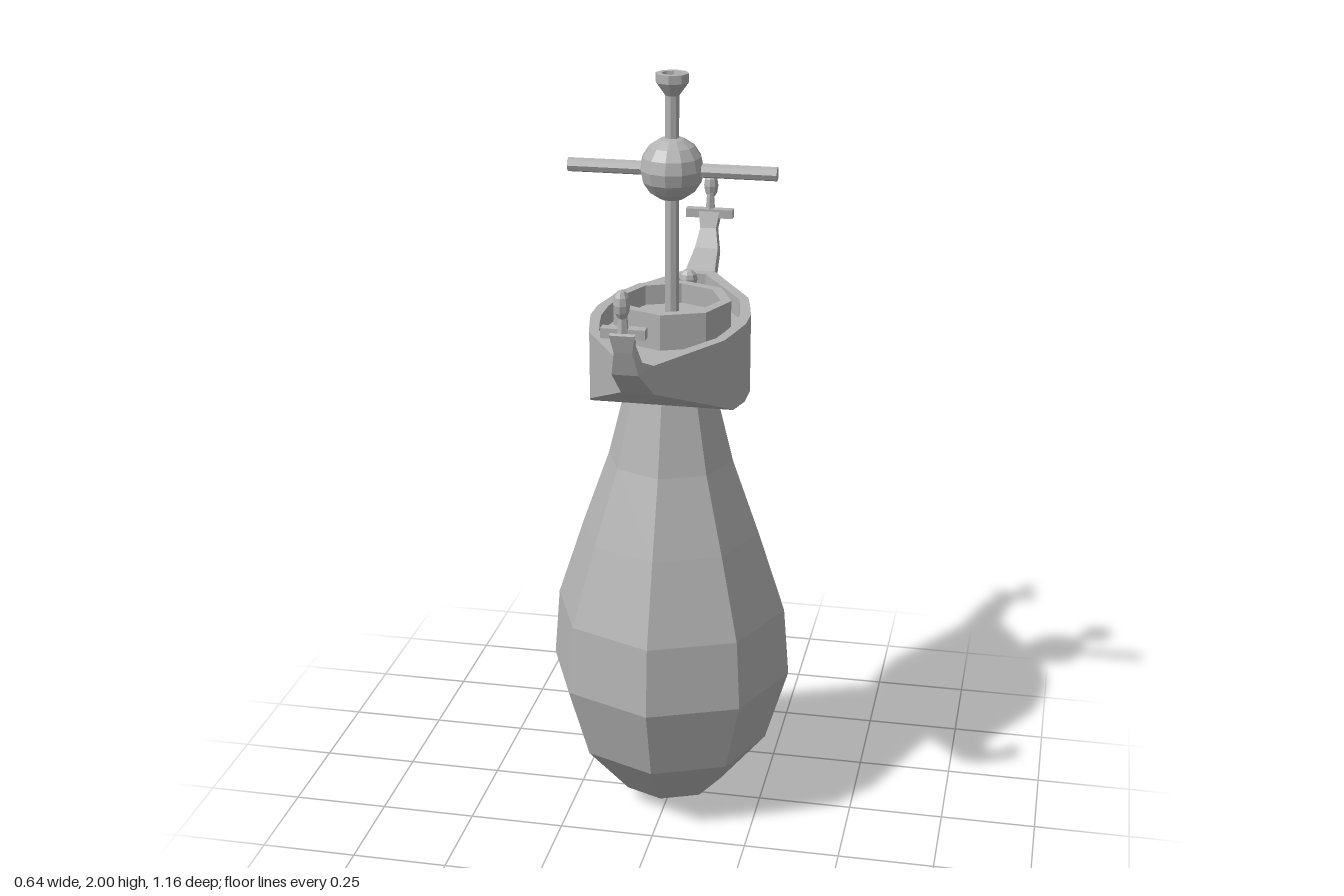
import * as THREE from 'three';

const stone = new THREE.MeshStandardMaterial({ color: 0xb2b2b2, flatShading: true });
stone.name = 'plain grey';

function add(parent, name, geometry, x = 0, y = 0, z = 0) {
  const mesh = new THREE.Mesh(geometry, stone);
  mesh.name = name;
  mesh.position.set(x, y, z);
  parent.add(mesh);
  return mesh;
}

// Flat-faced turned shape from [radius, height] pairs
function turned(profile, sides = 8) {
  return new THREE.LatheGeometry(profile.map(([r, y]) => new THREE.Vector2(r, y)), sides);
}

// Skin a row of matching closed loops running towards +z, with both ends capped
function loft(rings) {
  const pos = [];
  const n = rings[0].length;
  const quad = (a, b, c, d) => pos.push(...a, ...b, ...c, ...a, ...c, ...d);
  for (let i = 0; i < rings.length - 1; i++) {
    for (let j = 0; j < n; j++) {
      const k = (j + 1) % n;
      quad(rings[i][j], rings[i + 1][j], rings[i + 1][k], rings[i][k]);
    }
  }
  const first = rings[0], last = rings[rings.length - 1];
  for (let k = 0; k < n / 2 - 1; k++) {
    quad(first[k], first[k + 1], first[n - 2 - k], first[n - 1 - k]);
    quad(last[n - 1 - k], last[n - 2 - k], last[k + 1], last[k]);
  }
  const g = new THREE.BufferGeometry();
  g.setAttribute('position', new THREE.Float32BufferAttribute(pos, 3));
  g.computeVertexNormals();
  return g;
}

// Left half of a section, completed by its mirror image
function mirrored(half) {
  const left = half.map(([x, y, z]) => [-x, y, z]);
  return [...left, ...half.slice().reverse()];
}

function hullGeometry() {
  // z, half width, inner z, inner half width, bottom height
  const half = [
    [0.4, 0.04, 0.37, 0.02, 1.315],
    [0.18, 0.17, 0.165, 0.148, 1.212],
    [0.12, 0.184, 0.11, 0.16, 1.185],
    [0.04, 0.2, 0.04, 0.172, 1.18],
  ];
  const back = half.map(([z, x, iz, ix, y]) => [-z, x, -iz, ix, y]);
  return loft([...back, ...half.reverse()].map(([z, x, iz, ix, y]) => mirrored([
    [x, y, z], [x, 1.387, z], [ix, 1.387, iz], [ix, 1.335, iz],
  ])));
}

// Upswept stem with a small bust on its tip
function stem(name, shoulderWidth) {
  const g = new THREE.Group();
  g.name = name;
  // half width, outer z and y, inner z and y
  const rings = [
    [0.04, 0.4, 1.315, 0.4, 1.387],
    [0.032, 0.53, 1.405, 0.49, 1.425],
    [0.022, 0.55, 1.465, 0.515, 1.475],
    [0.03, 0.562, 1.51, 0.53, 1.525],
  ];
  add(g, name + 'Post', loft(rings.map(([x, oz, oy, iz, iy]) =>
    mirrored([[x, oy, oz], [x, iy, iz]]))));
  add(g, name + 'Shoulders', new THREE.BoxGeometry(shoulderWidth, 0.024, 0.026), 0, 1.512, 0.541);
  add(g, name + 'Neck', new THREE.CylinderGeometry(0.01, 0.014, 0.05, 6), 0, 1.54, 0.548);
  add(g, name + 'Head', new THREE.SphereGeometry(1, 8, 6), 0, 1.585, 0.559).scale.set(0.02, 0.036, 0.022);
  return g;
}

export function createModel() {
  const model = new THREE.Group();
  model.name = 'boatOnBulb';

  add(model, 'bulb', turned([
    [0, 0.005], [0.14, 0.055], [0.262, 0.2], [0.322, 0.4], [0.307, 0.585],
    [0.236, 0.8], [0.165, 1.0], [0.118, 1.19],
  ]));

  add(model, 'hull', hullGeometry());
  model.add(stem('prow', 0.105));
  const stern = stem('stern', 0.13);
  stern.rotation.y = Math.PI;
  model.add(stern);

  // Small knob on the rear deck
  add(model, 'knobPost', new THREE.CylinderGeometry(0.011, 0.02, 0.07, 8), 0, 1.37, -0.232);
  add(model, 'knob', new THREE.SphereGeometry(0.025, 8, 6), 0, 1.415, -0.232);

  // Well, mast and ball share one axis, slightly behind the middle
  const rig = new THREE.Group();
  rig.name = 'rig';
  rig.position.z = -0.016;
  model.add(rig);
  add(rig, 'well', turned([
    [0.153, 1.33], [0.153, 1.427], [0.125, 1.427], [0.125, 1.375], [0, 1.375],
  ]));
  add(rig, 'mast', new THREE.CylinderGeometry(0.018, 0.018, 0.59, 8), 0, 1.665, 0);
  add(rig, 'mastCup', turned([
    [0.018, 1.945], [0.042, 1.978], [0.042, 2.0], [0.026, 2.0], [0.018, 1.955], [0, 1.955],
  ]));
  add(rig, 'ball', new THREE.SphereGeometry(1, 12, 8), 0, 1.762, 0).scale.set(0.081, 0.081, 0.087);
  add(rig, 'crossbar', new THREE.CylinderGeometry(0.018, 0.018, 0.53, 8), 0, 1.76, 0).rotation.z = Math.PI / 2;

  return model;
}
